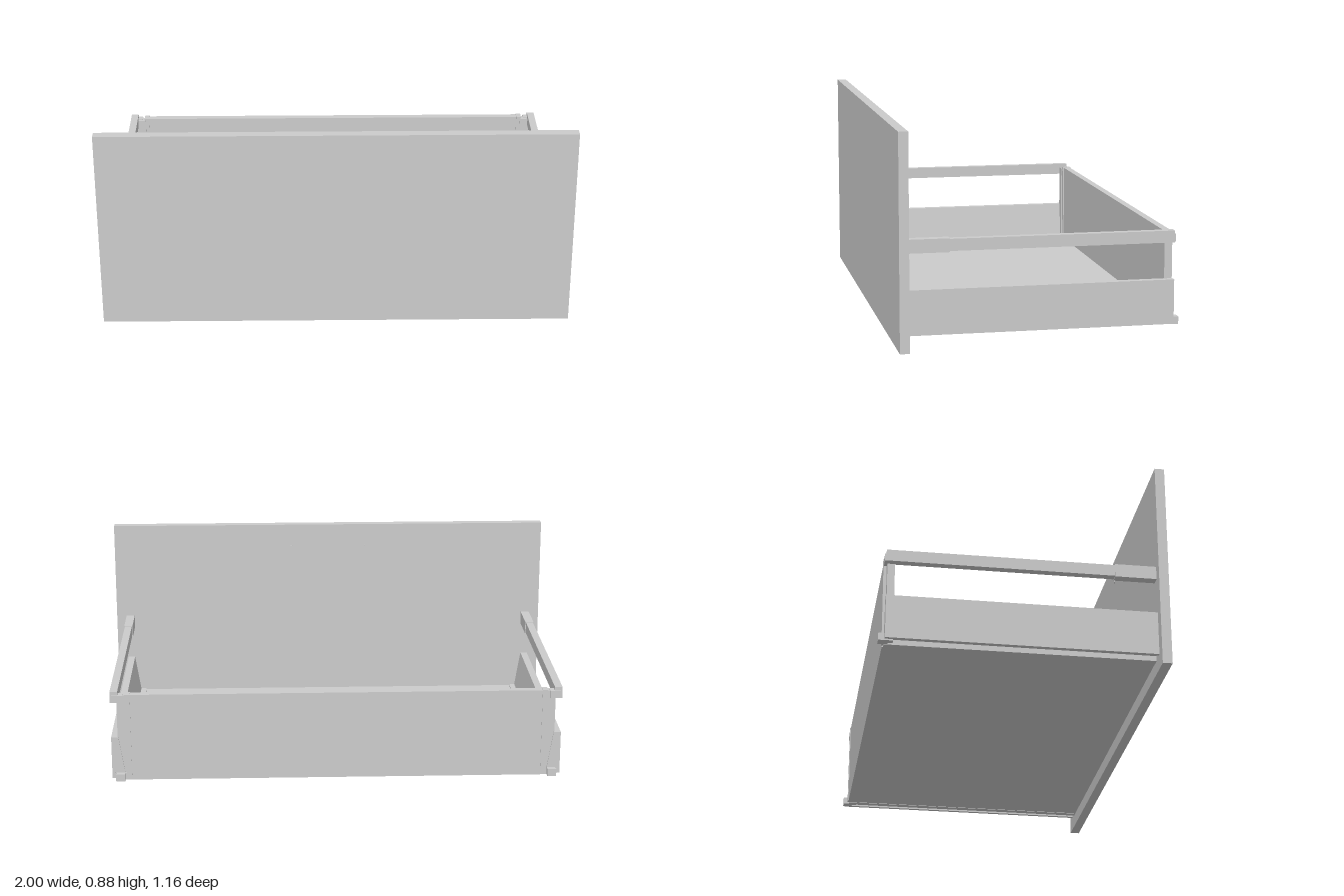
import * as THREE from 'three';

const material = new THREE.MeshStandardMaterial({ color: 0xcccccc, side: THREE.DoubleSide });

// Box given by its minimum and maximum on each axis
function box(parent, name, [x0, x1], [y0, y1], [z0, z1]) {
  const mesh = new THREE.Mesh(new THREE.BoxGeometry(x1 - x0, y1 - y0, z1 - z0), material);
  mesh.position.set((x0 + x1) / 2, (y0 + y1) / 2, (z0 + z1) / 2);
  mesh.name = name;
  parent.add(mesh);
}

// Cross-section in x and y, mirrored by s, extruded along z
function profile(parent, name, points, s, z0, z1) {
  const shape = new THREE.Shape(points.map(([x, y]) => new THREE.Vector2(x * s, y)));
  const geometry = new THREE.ExtrudeGeometry(shape, { depth: z1 - z0, bevelEnabled: false });
  const mesh = new THREE.Mesh(geometry, material);
  mesh.position.z = z0;
  mesh.name = name;
  parent.add(mesh);
}

export function createModel() {
  const model = new THREE.Group();
  model.name = 'drawer';

  // Large panels
  box(model, 'frontPanel', [-1, 1], [0, 0.885], [0.54, 0.58]);
  box(model, 'floor', [-0.88, 0.88], [0.055, 0.08], [-0.53, 0.54]);
  box(model, 'backPanel', [-0.872, 0.872], [0.055, 0.435], [-0.56, -0.53]);

  for (const s of [1, -1]) {
    const side = new THREE.Group();
    side.name = s > 0 ? 'leftSide' : 'rightSide';
    model.add(side);
    const span = (a, b) => (s > 0 ? [a, b] : [-b, -a]);

    // Side wall: upright outside, sloped inside, open runner channel below
    profile(side, 'sideWall', [
      [0.952, 0.06], [0.952, 0.245], [0.922, 0.245], [0.897, 0.085], [0.872, 0.085],
      [0.872, 0.053], [0.9, 0.053], [0.9, 0.075], [0.938, 0.085], [0.938, 0.06],
    ], s, -0.555, 0.54);

    // Gallery rail with a sleeve at the front
    box(side, 'rail', span(0.92, 0.952), [0.398, 0.447], [-0.555, 0.54]);
    box(side, 'railSleeve', span(0.917, 0.955), [0.394, 0.45], [0.37, 0.54]);

    // Back bracket: post, flange behind the panel end, rail clip and hook
    box(side, 'backPost', span(0.885, 0.925), [0.06, 0.43], [-0.55, -0.52]);
    box(side, 'bracketFlange', span(0.868, 0.89), [0.06, 0.437], [-0.563, -0.525]);
    box(side, 'railClip', span(0.9, 0.945), [0.4, 0.432], [-0.562, -0.53]);
    box(side, 'bracketHook', span(0.897, 0.935), [0.055, 0.086], [-0.58, -0.54]);

    // Screw head on the inside of the front panel
    const screw = new THREE.Mesh(new THREE.CylinderGeometry(0.007, 0.007, 0.005, 16), material);
    screw.rotation.x = Math.PI / 2;
    screw.position.set(0.175 * s, 0.78, 0.538);
    screw.name = 'screwHead';
    side.add(screw);
  }
  return model;
}
